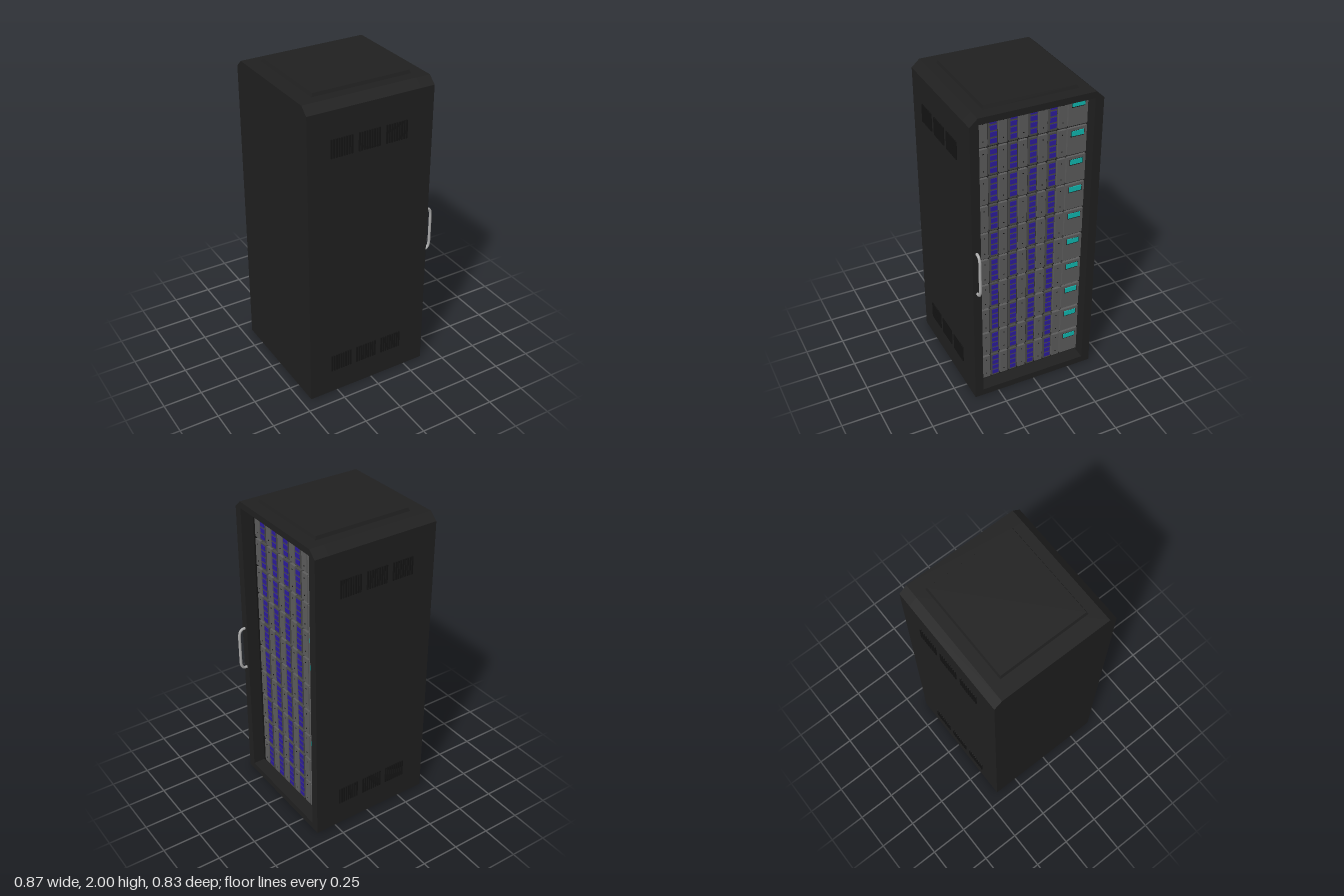
import * as THREE from 'three';

const mat = (color) => new THREE.MeshStandardMaterial({ color });
const shell = mat(0x202020), dark = mat(0x141414), steel = mat(0x5c5c5c);
const steelDark = mat(0x484848), blue = mat(0x2c1c9c), teal = mat(0x10b8b0), chrome = mat(0xaaaaaa);
const unit = new THREE.BoxGeometry(1, 1, 1);

// Box given by its limits on each axis
function box(name, material, x0, x1, y0, y1, z0, z1) {
  const m = new THREE.Mesh(unit, material);
  m.name = name;
  m.scale.set(x1 - x0, y1 - y0, z1 - z0);
  m.position.set((x0 + x1) / 2, (y0 + y1) / 2, (z0 + z1) / 2);
  return m;
}

// Chamfered cabinet section swept along x
function cabinetSection(name, x0, x1, open) {
  const pts = [[-0.41, 0], [0.41, 0], [0.41, 1.935], [0.36, 1.98], [-0.36, 1.98], [-0.41, 1.935]];
  const shape = new THREE.Shape(pts.map((p) => new THREE.Vector2(...p)));
  if (open) {
    const hole = [[-0.355, 0.045], [-0.355, 1.94], [0.355, 1.94], [0.355, 0.045]];
    shape.holes.push(new THREE.Path(hole.map((p) => new THREE.Vector2(...p))));
  }
  const g = new THREE.ExtrudeGeometry(shape, { depth: x1 - x0, bevelEnabled: false });
  g.rotateY(Math.PI / 2).translate(x0, 0, 0);
  const m = new THREE.Mesh(g, shell);
  m.name = name;
  return m;
}

// Raised roof panel with sloping edges
function roofPanel() {
  const g = new THREE.BoxGeometry(0.645, 0.022, 0.59).toNonIndexed();
  const p = g.attributes.position;
  for (let i = 0; i < p.count; i++) {
    if (p.getY(i) > 0) p.setXYZ(i, p.getX(i) * 0.972, p.getY(i), p.getZ(i) * 0.97);
  }
  g.computeVertexNormals();
  const m = new THREE.Mesh(g, shell);
  m.name = 'roofPanel';
  m.position.set(-0.018, 1.989, 0);
  return m;
}

// Three slatted vents in a row on one side wall
function ventRow(y0, side) {
  const row = new THREE.Group();
  row.name = 'ventRow';
  const shift = side > 0 ? 0 : 0.012;
  for (let k = 0; k < 3; k++) {
    const x = -0.292 + shift + k * 0.18;
    for (let i = 0; i < 9; i++) {
      const a = x + i * 0.0165;
      row.add(box('ventSlat', dark, a, a + 0.009, y0, y0 + 0.115, side * 0.412 - 0.005, side * 0.412 + 0.005));
    }
  }
  return row;
}

// One rack unit: nine narrow bays and a wide control bay
function serverUnit() {
  const u = new THREE.Group();
  u.name = 'serverUnit';
  const h = 0.172, face = 0.312;
  for (let c = 0; c < 9; c++) {
    const z1 = 0.325 - c * 0.0617, z0 = z1 - 0.052;
    const drive = c % 2 === 1;
    u.add(box('bay', drive ? steelDark : steel, 0.29, face, 0, h, z0, z1));
    if (drive) {
      for (let i = 0; i < 4; i++) {
        const y = 0.014 + i * 0.04;
        u.add(box('driveLight', blue, face - 0.004, face + 0.004, y, y + 0.028, z0 + 0.006, z1 - 0.006));
      }
    } else {
      for (const y of [0.03, 0.14]) {
        u.add(box('bayScrew', dark, face - 0.002, face + 0.002, y, y + 0.006, (z0 + z1) / 2 - 0.003, (z0 + z1) / 2 + 0.003));
      }
    }
  }
  u.add(box('controlBay', steel, 0.29, face, 0, h, -0.352, -0.228));
  u.add(box('displayBezel', dark, face - 0.004, face + 0.003, 0.116, 0.154, -0.334, -0.248));
  u.add(box('display', teal, face - 0.004, face + 0.006, 0.122, 0.154, -0.33, -0.25));
  return u;
}

// Bent bar handle on the door frame
function doorHandle() {
  const V = (x, y) => new THREE.Vector3(x, y, 0.382);
  const path = new THREE.CurvePath();
  path.add(new THREE.LineCurve3(V(0.375, 0.824), V(0.395, 0.824)));
  path.add(new THREE.QuadraticBezierCurve3(V(0.395, 0.824), V(0.427, 0.826), V(0.427, 0.88)));
  path.add(new THREE.LineCurve3(V(0.427, 0.88), V(0.427, 1.056)));
  path.add(new THREE.QuadraticBezierCurve3(V(0.427, 1.056), V(0.427, 1.11), V(0.395, 1.112)));
  path.add(new THREE.LineCurve3(V(0.395, 1.112), V(0.375, 1.112)));
  const m = new THREE.Mesh(new THREE.TubeGeometry(path, 60, 0.009, 10, false), chrome);
  m.name = 'doorHandle';
  return m;
}

export function createModel() {
  const model = new THREE.Group();
  model.name = 'serverCabinet';
  model.add(cabinetSection('cabinetBody', -0.438, 0.295, false));
  model.add(cabinetSection('doorFrame', 0.295, 0.385, true));
  model.add(roofPanel(), doorHandle());
  for (const y of [0.165, 1.65]) for (const side of [1, -1]) model.add(ventRow(y, side));

  // Mounting rail and stacked rack units
  model.add(box('mountingRail', dark, 0.29, 0.308, 0.05, 1.935, 0.328, 0.35));
  for (let i = 0; i < 10; i++) {
    const u = serverUnit();
    u.position.y = 0.067 + i * 0.1875;
    model.add(u);
  }
  return model;
}
